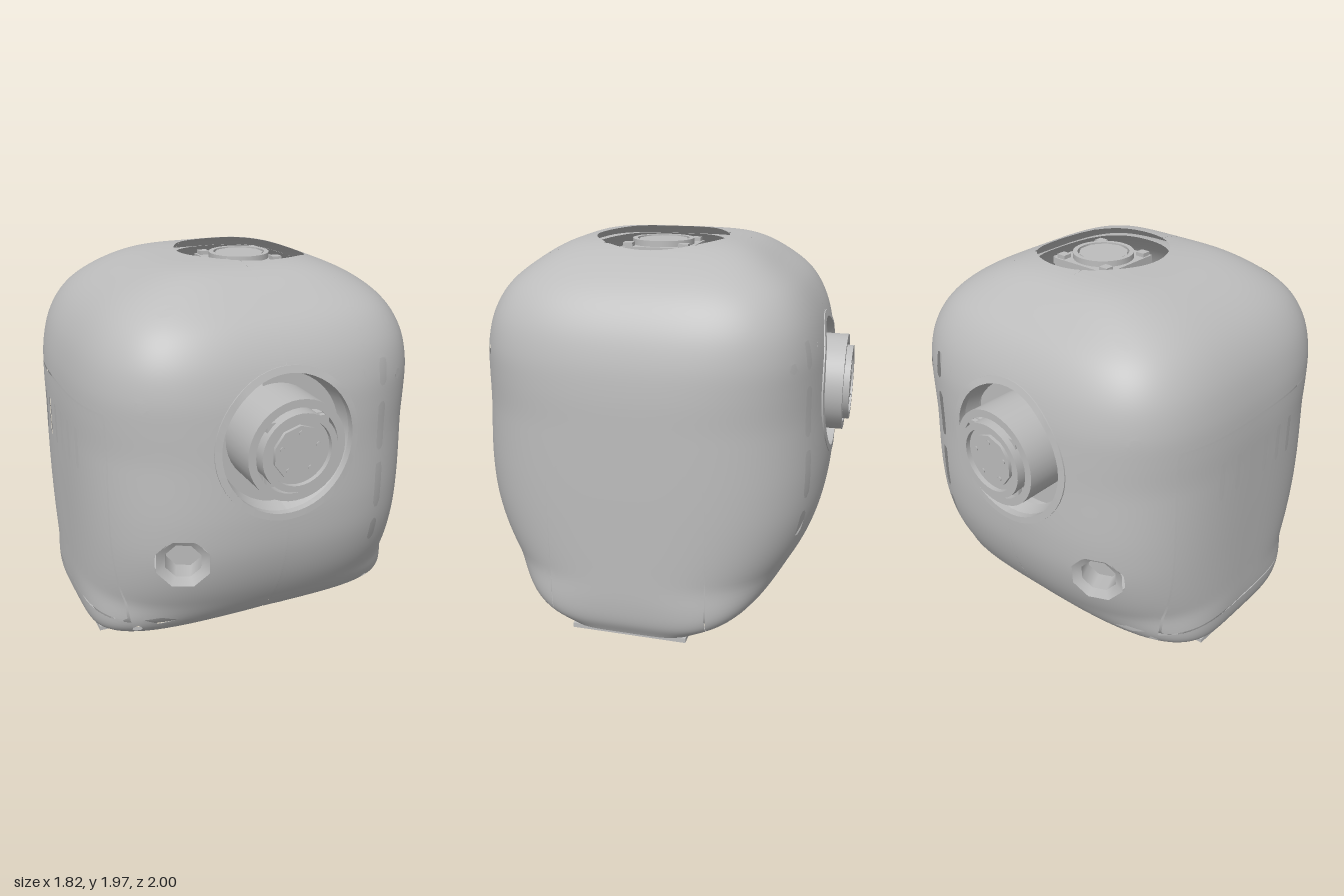
import * as THREE from 'three';
import { mergeVertices } from 'three/addons/utils/BufferGeometryUtils.js';

const grey = new THREE.MeshStandardMaterial({ color: 0xbcbcbc, side: THREE.DoubleSide });
grey.name = 'plain grey';

function add(parent, name, geometry, x = 0, y = 0, z = 0) {
  const m = new THREE.Mesh(geometry, grey);
  m.name = name;
  m.position.set(x, y, z);
  parent.add(m);
  return m;
}
const box = (w, h, d) => new THREE.BoxGeometry(w, h, d);
// Disc or drum whose axis runs along z
const drum = (r, depth, sides = 32) => new THREE.CylinderGeometry(r, r, depth, sides).rotateX(Math.PI / 2);
// Turned ring whose axis runs along z; points are [radius, z]
const ring = (pts, sides = 40) =>
  new THREE.LatheGeometry(pts.map(p => new THREE.Vector2(p[0], p[1])), sides).rotateX(Math.PI / 2);

// Body outline from bottom to top: height, half width, half depth
const PROFILE = [
  [0.02, 0.845, 0.4], [0.1, 0.885, 0.575], [0.2, 0.9, 0.69], [0.4, 0.905, 0.82], [0.6, 0.908, 0.89],
  [0.8, 0.91, 0.912], [1.1, 0.91, 0.902], [1.3, 0.907, 0.89], [1.45, 0.89, 0.872], [1.6, 0.845, 0.828],
  [1.73, 0.765, 0.75], [1.84, 0.635, 0.62], [1.93, 0.43, 0.46], [1.965, 0.2, 0.25], [1.972, 0.005, 0.005],
];
const smooth = THREE.MathUtils.smoothstep;
// Squareness of the body's cross-section at height y
const squareness = y => 2.9 + 2.6 * (1 - smooth(y, -0.1, 0.34)) + 1.1 * smooth(y, 1.1, 1.95);

function bodyGrid(cols, rows) {
  const curve = new THREE.CatmullRomCurve3(PROFILE.map(([y, a, b]) => new THREE.Vector3(a, y, b)));
  return curve.getSpacedPoints(rows).map(({ x: a, y, z: b }) => {
    const n = squareness(y);
    return Array.from({ length: cols }, (_, i) => {
      const t = (i / cols) * Math.PI * 2, c = Math.cos(t), s = Math.sin(t);
      const r = Math.pow(Math.abs(c) ** n + Math.abs(s) ** n, -1 / n);
      return new THREE.Vector3(a * r * c, y, b * r * s);
    });
  });
}

// Depth of the body's front surface at x, y
function depthAt(x, y) {
  const i = PROFILE.findIndex(p => p[0] > y);
  const [y0, a0, b0] = PROFILE[i - 1], [y1, a1, b1] = PROFILE[i];
  const t = (y - y0) / (y1 - y0), n = squareness(y);
  const a = a0 + (a1 - a0) * t, b = b0 + (b1 - b0) * t;
  return b * Math.pow(1 - Math.abs(x / a) ** n, 1 / n);
}

// The part of a grid surface where keep(point) is positive
function patch(grid, keep) {
  const out = [], cols = grid[0].length;
  const value = grid.map(row => row.map(keep));
  for (let j = 0; j + 1 < grid.length; j++) for (let i = 0; i < cols; i++) {
    const k = (i + 1) % cols;
    const corners = [[j, i], [j + 1, i], [j + 1, k], [j, k]];
    const poly = [];
    corners.forEach(([r, c], q) => {
      const [r2, c2] = corners[(q + 1) % 4];
      const p = grid[r][c], f = value[r][c], f2 = value[r2][c2];
      if (f >= 0) poly.push(p);
      if ((f >= 0) !== (f2 >= 0)) poly.push(p.clone().lerp(grid[r2][c2], f / (f - f2)));
    });
    for (let q = 1; q + 1 < poly.length; q++)
      for (const p of [poly[0], poly[q], poly[q + 1]]) out.push(p.x, p.y, p.z);
  }
  const g = new THREE.BufferGeometry();
  g.setAttribute('position', new THREE.Float32BufferAttribute(out, 3));
  const merged = mergeVertices(g, 1e-4);
  merged.computeVertexNormals();
  return merged;
}

// Distance to a rectangle, negative inside
const rect = (u, v, hu, hv) => Math.max(Math.abs(u) - hu, Math.abs(v) - hv);
// Side panels, positive inside
const ventPanel = p => (p.x > 0 ? -p.x - 0.1 : -rect(p.z, p.y - 0.77, 0.56, 0.57));
const smoothPanel = p => {
  if (p.x < 0.4) return p.x - 0.4;
  const du = Math.max(Math.abs(p.z) - 0.28, 0), dv = Math.max(p.y - 0.81, 0);
  return 0.12 - Math.hypot(du, dv);
};
const SLOTS = [[0.52, 0.66], [0.73, 0.98], [1.05, 1.31], [1.39, 1.53]];
const SCREWS = [[-0.7, 1.42], [0.65, 1.42], [0.65, 0.14], [-0.7, 0.14]];

// Large openings: top, round front and back, and bottom arches; negative inside
function mainOpenings({ x, y, z }) {
  let d = y > 1.6 ? Math.hypot(x - 0.12, z) - 0.345 : 1;
  if (Math.abs(z) > 0.3) d = Math.min(d, Math.hypot(x + 0.02, y - 1.19) - 0.365);
  if (y < 0.4) d = Math.min(d, Math.hypot(x + 0.01, y + 0.28) - 0.423);
  return d;
}
const socketHole = ({ x, y, z }) => {
  const u = Math.abs(x + 0.54), v = Math.abs(y - 0.63);
  return Math.abs(z) > 0.3 ? Math.max(u, v, (u + v) * 0.7071) - 0.122 : 1;
};

// Slots and screw holes on front and back
function smallOpenings({ x, y, z }) {
  let d = 1;
  if (Math.abs(z) < 0.3) return d;
  for (const [lo, hi] of SLOTS) d = Math.min(d, rect(x - 0.525, y - (lo + hi) / 2, 0.025, (hi - lo) / 2));
  for (const [sx, sy] of SCREWS) d = Math.min(d, Math.abs(x - sx) + Math.abs(y - sy) - 0.032);
  if (y > 1.6) d = Math.min(d, Math.abs(x + 0.51) * 0.4 + Math.abs(Math.abs(z) - 0.595) - 0.026);
  return Math.min(d, Math.abs(x + 0.6) * 0.28 + Math.abs(y - 0.215) - 0.025);
}

function vents(p) {
  let d = 1;
  for (let i = 0; i < 6; i++) d = Math.min(d, rect(p.z + 0.3 - i * 0.12, p.y - 1.09, 0.018, 0.11));
  return d;
}

// Rim of the round opening, following the curve of the body
function curvedLip() {
  const g = ring([[0.325, -0.1], [0.345, -0.03], [0.345, -0.03], [0.345, 0.008], [0.345, 0.008], [0.38, 0.008], [0.38, 0.008], [0.38, -0.02]], 48);
  const p = g.attributes.position;
  for (let i = 0; i < p.count; i++) p.setZ(i, p.getZ(i) + depthAt(p.getX(i) - 0.02, p.getY(i) + 1.19));
  g.computeVertexNormals();
  return g;
}

// Round unit set in the front opening, facing +z
function sideUnit() {
  const g = new THREE.Group();
  g.position.set(-0.02, 1.19, 0);
  add(g, 'openingLip', curvedLip());
  add(g, 'flange', new THREE.RingGeometry(0.25, 0.37, 40, 1, 2.35, 5.75), 0, 0, 0.72);
  add(g, 'sleeve', ring([[0.255, 0.5], [0.255, 0.97], [0.255, 0.97], [0.215, 0.97], [0.215, 0.97], [0.215, 0.88]]));
  add(g, 'sleeveFloor', drum(0.25, 0.03), 0, 0, 0.88);
  add(g, 'squareFrame', box(0.33, 0.33, 0.06), 0, 0, 0.915);
  add(g, 'coreRim', ring([[0.197, 0.9], [0.197, 1], [0.197, 1], [0.165, 1], [0.165, 1], [0.165, 0.97]]));
  add(g, 'coreFace', drum(0.17, 0.06), 0, 0, 0.945);
  add(g, 'coreCap', drum(0.135, 0.025, 10), 0, 0, 0.98);
  for (let i = 0; i < 5; i++) {
    const t = i * Math.PI * 0.4 + 0.3;
    add(g, 'capScrew', drum(0.012, 0.01, 6), Math.cos(t) * 0.1, Math.sin(t) * 0.1, 0.993);
  }
  for (const sx of [-1, 1]) for (const sy of [-1, 1])
    add(g, 'frameCorner', box(0.05, 0.05, 0.04), sx * 0.135, sy * 0.135, 0.95);
  add(g, 'mountBlock', box(0.34, 0.34, 0.3), 0, 0, 0.62);
  return g;
}

// Eight-sided socket low on the front
function socket() {
  const g = new THREE.Group();
  g.position.set(-0.54, 0.63, 0.815);
  g.rotation.set(0.06, -0.4, 0);
  const turn = Math.PI / 8;
  add(g, 'socketRim', ring([[0.14, 0.005], [0.095, -0.02], [0.095, -0.02], [0.095, -0.13]], 8)).rotation.z = turn;
  add(g, 'socketFloor', drum(0.095, 0.02, 8), 0, 0, -0.13).rotation.z = turn;
  return g;
}

export function createModel() {
  const model = new THREE.Group();
  const grid = bodyGrid(320, 100);

  // Outer shell in two halves with two side panels and an inner lining
  const shell = p => Math.min(mainOpenings(p), socketHole(p), smallOpenings(p), -0.003 - smoothPanel(p), -0.01 - ventPanel(p));
  add(model, 'leftShell', patch(grid, p => Math.min(shell(p), p.x + 0.0195)));
  add(model, 'rightShell', patch(grid, p => Math.min(shell(p), -0.0205 - p.x)));
  add(model, 'smoothSidePanel', patch(grid, smoothPanel));
  add(model, 'ventedSidePanel', patch(grid, p => Math.min(ventPanel(p), vents(p))));
  const inner = bodyGrid(120, 50);
  inner.flat().forEach(p => p.set(p.x * 0.96, 0.03 + (p.y - 0.004) * 0.967, p.z * 0.96));
  add(model, 'shellLining', patch(inner, p => Math.min(mainOpenings(p), socketHole(p))));
  for (const s of [-1, 1]) add(model, 'sideFoot', box(0.15, 0.024, 0.6), s * 0.755, 0.012, 0);

  // Matching units on front and back
  for (const s of [1, -1]) {
    const side = new THREE.Group();
    side.name = s > 0 ? 'frontFittings' : 'backFittings';
    const unit = sideUnit(), hole = socket();
    unit.name = 'roundUnit';
    hole.name = 'socket';
    side.add(unit, hole);
    side.scale.z = s;
    model.add(side);
  }

  // Square unit in the top opening
  const top = new THREE.Group();
  top.name = 'topUnit';
  top.position.set(0.12, 0, 0);
  model.add(top);
  add(top, 'topBlock', box(0.44, 0.34, 0.44), 0, 1.64, 0);
  add(top, 'topPlate', box(0.36, 0.1, 0.36), 0, 1.86, 0);
  add(top, 'topRim', ring([[0.16, 0], [0.16, 0.03], [0.16, 0.03], [0.135, 0.03], [0.135, 0.03], [0.135, 0]]).rotateX(-Math.PI / 2), 0, 1.91, 0);
  add(top, 'topCap', new THREE.CylinderGeometry(0.13, 0.13, 0.03, 10), 0, 1.92, 0);
  for (const sx of [-1, 1]) {
    add(top, 'crossBar', box(0.16, 0.04, 0.06), sx * 0.26, 1.82, 0);
    for (const sz of [-1, 1]) add(top, 'cornerPost', box(0.05, 0.02, 0.05), sx * 0.145, 1.92, sz * 0.145);
  }
  add(top, 'topBracket', box(0.25, 0.03, 0.6), -0.09, 1.78, 0);

  // Recessed floor with staggered plates: each row lists centre and length
  const floor = new THREE.Group();
  floor.name = 'floor';
  model.add(floor);
  add(floor, 'floorPlate', box(1.6, 0.03, 0.96), 0, 0.165, 0);
  const plates = [[[-0.5, 0.5], [0.2, 0.7]], [[-0.35, 0.4], [0.4, 0.6]], [[-0.5, 0.5], [0.15, 0.4], [0.62, 0.22]], [[-0.3, 0.7], [0.45, 0.5]]];
  plates.forEach((row, r) => row.forEach(([x, len]) =>
    add(floor, 'floorStrip', box(len, 0.05, 0.16), x, 0.13, -0.33 + r * 0.22)));
  return model;
}
